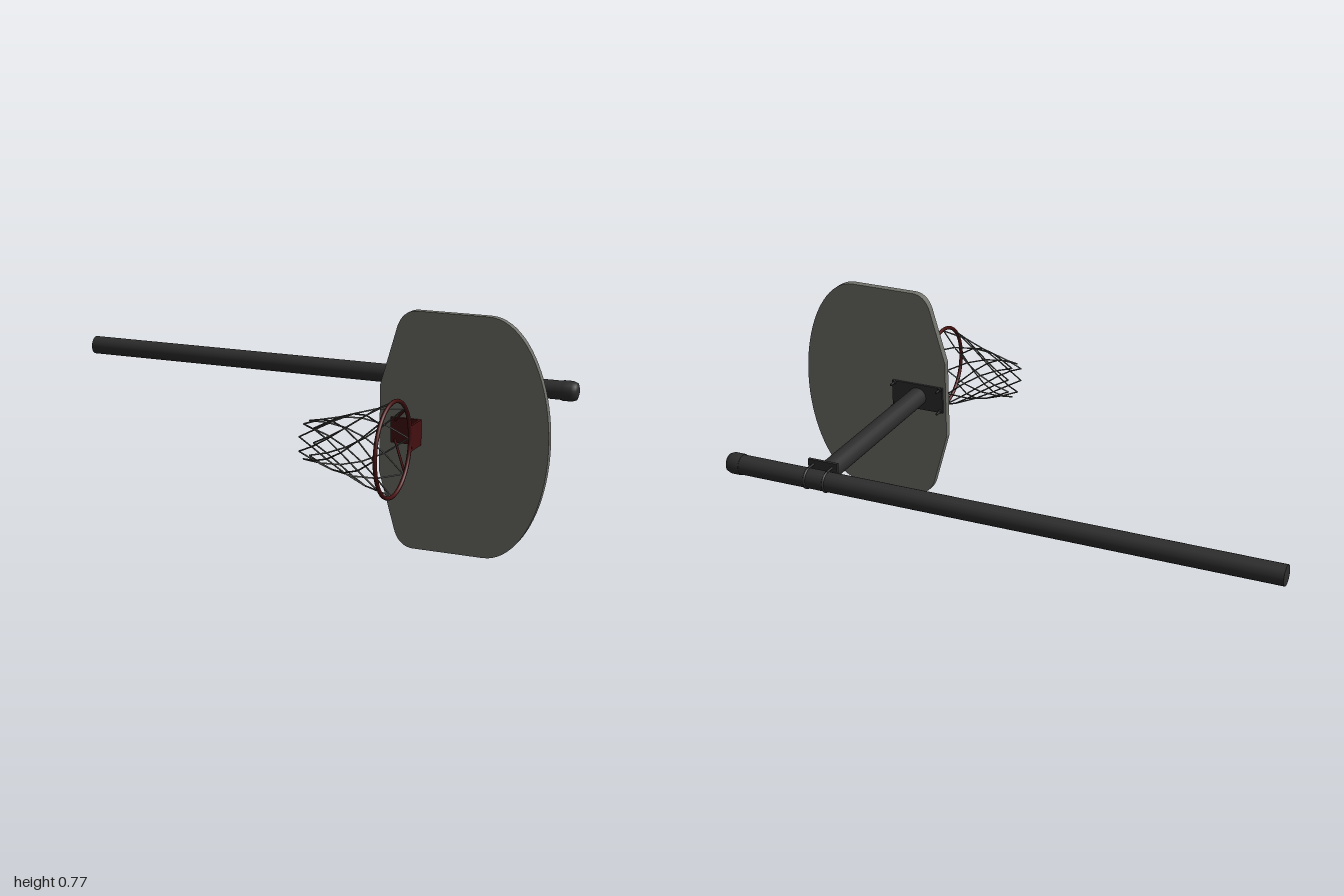
import * as THREE from 'three';

const CY = 0.385; // height of the symmetry plane

export function createModel() {
  const root = new THREE.Group();
  const mat = (name, color, side = THREE.FrontSide) => {
    const m = new THREE.MeshStandardMaterial({ color, side });
    m.name = name;
    return m;
  };
  const steel = mat('dark steel', 0x2d2d2d);
  const board = mat('board grey', 0x70706a);
  const red = mat('dark red', 0x430f0f);
  const cord = mat('net cord', 0x40423e);

  const add = (parent, name, geo, material, x = 0, y = 0, z = 0) => {
    const mesh = new THREE.Mesh(geo, material);
    mesh.name = name;
    mesh.position.set(x, y, z);
    parent.add(mesh);
    return mesh;
  };
  const group = (name) => {
    const g = new THREE.Group();
    g.name = name;
    root.add(g);
    return g;
  };
  // straight round bar between two points
  const bar = (parent, name, a, b, r, material, sides = 6) => {
    const d = b.clone().sub(a);
    const mesh = add(parent, name, new THREE.CylinderGeometry(r, r, d.length(), sides), material);
    mesh.position.copy(a).add(b).multiplyScalar(0.5);
    mesh.quaternion.setFromUnitVectors(new THREE.Vector3(0, 1, 0), d.normalize());
    return mesh;
  };
  const V = (x, y, z) => new THREE.Vector3(x, y, z);

  // pole lying along x, with an end cap
  const PZ = -0.545;
  const pole = group('pole');
  bar(pole, 'poleTube', V(-1, CY, PZ), V(0.85, CY, PZ), 0.033, steel, 24);
  const capProfile = [[0.033, 0], [0.0355, 0], [0.0355, 0.034], [0.03, 0.048], [0.017, 0.053], [0, 0.054]]
    .map(([r, h]) => new THREE.Vector2(r, h));
  const cap = add(pole, 'poleCap', new THREE.LatheGeometry(capProfile, 24), steel, 0.835, CY, PZ);
  cap.rotation.z = -Math.PI / 2;

  // arm and the clamp holding it to the pole
  const AX = 0.557;
  const arm = group('arm');
  bar(arm, 'armTube', V(AX, CY, -0.51), V(AX, CY, 0.165), 0.034, steel, 20);
  add(arm, 'clampPlate', new THREE.BoxGeometry(0.106, 0.1, 0.01), steel, AX, CY, -0.507);
  for (const s of [-1, 1]) {
    const band = add(arm, 'clampBand', new THREE.TorusGeometry(0.033, 0.004, 8, 20, Math.PI), steel, AX + s * 0.034, CY, PZ);
    band.rotation.set(0, -Math.PI / 2, Math.PI / 2, 'YZX');
    band.rotation.set(0, 0, 0);
    // half ring around the back of the pole
    band.quaternion.setFromRotationMatrix(new THREE.Matrix4().makeBasis(V(0, 1, 0), V(0, 0, -1), V(-1, 0, 0)));
    for (const t of [-1, 1]) {
      bar(arm, 'clampBolt', V(AX + s * 0.034, CY + t * 0.034, PZ), V(AX + s * 0.034, CY + t * 0.034, -0.498), 0.004, steel, 8);
    }
  }

  // backboard mounting plate and its corner bolts
  const mount = group('boardMount');
  add(mount, 'mountPlate', new THREE.BoxGeometry(0.196, 0.094, 0.008), steel, AX, CY, 0.163);
  for (const s of [-1, 1]) for (const t of [-1, 1]) {
    const x = AX + s * 0.088, y = CY + t * 0.041;
    bar(mount, 'mountBolt', V(x, y, 0.13), V(x, y, 0.168), 0.004, steel, 8);
    bar(mount, 'mountNut', V(x, y, 0.152), V(x, y, 0.16), 0.007, steel, 6);
  }

  // fan-shaped backboard
  const s = new THREE.Shape();
  const h = 0.383;
  s.moveTo(0.45, -0.14);
  s.lineTo(0.503, -0.325);
  s.quadraticCurveTo(0.52, -h, 0.57, -h);
  s.lineTo(0.8, -h);
  s.bezierCurveTo(0.915, -h, 1, -0.2, 1, 0);
  s.bezierCurveTo(1, 0.2, 0.915, h, 0.8, h);
  s.lineTo(0.57, h);
  s.quadraticCurveTo(0.52, h, 0.503, 0.325);
  s.lineTo(0.45, 0.14);
  s.closePath();
  add(root, 'backboard', new THREE.ExtrudeGeometry(s, { depth: 0.025, bevelEnabled: false, curveSegments: 20 }), board, 0, CY, 0.168);

  // hoop with bracket and side struts
  const RX = 0.584, RZ = 0.425, RR = 0.148;
  const hoop = group('hoop');
  const ring = add(hoop, 'rim', new THREE.TorusGeometry(RR, 0.0065, 10, 48), red, RX, CY, RZ);
  ring.rotation.y = Math.PI / 2;
  add(hoop, 'bracketPlate', new THREE.BoxGeometry(0.1, 0.082, 0.008), red, 0.54, CY, 0.197);
  add(hoop, 'bracketShelf', new THREE.BoxGeometry(0.008, 0.082, 0.084), red, 0.586, CY, 0.235);
  for (const t of [-1, 1]) {
    bar(hoop, 'strut', V(0.505, CY + t * 0.032, 0.2), V(RX, CY + t * 0.103, 0.318), 0.004, red, 8);
  }

  // net: strands twisting both ways from eight hooks
  const net = group('net');
  const radii = [0.146, 0.119, 0.098, 0.082, 0.069, 0.06];
  const depths = [0.58, 0.515, 0.455, 0.4, 0.348, 0.3];
  for (let i = 0; i < 8; i++) for (const dir of [-1, 1]) {
    const pts = radii.map((r, k) => {
      const a = (i * 2 + dir * k) * Math.PI / 8;
      return V(depths[k], CY + r * Math.cos(a), RZ + r * Math.sin(a));
    });
    for (let k = 0; k < 5; k++) bar(net, 'netStrand', pts[k], pts[k + 1], 0.0026, cord, 5);
  }
  return root;
}
